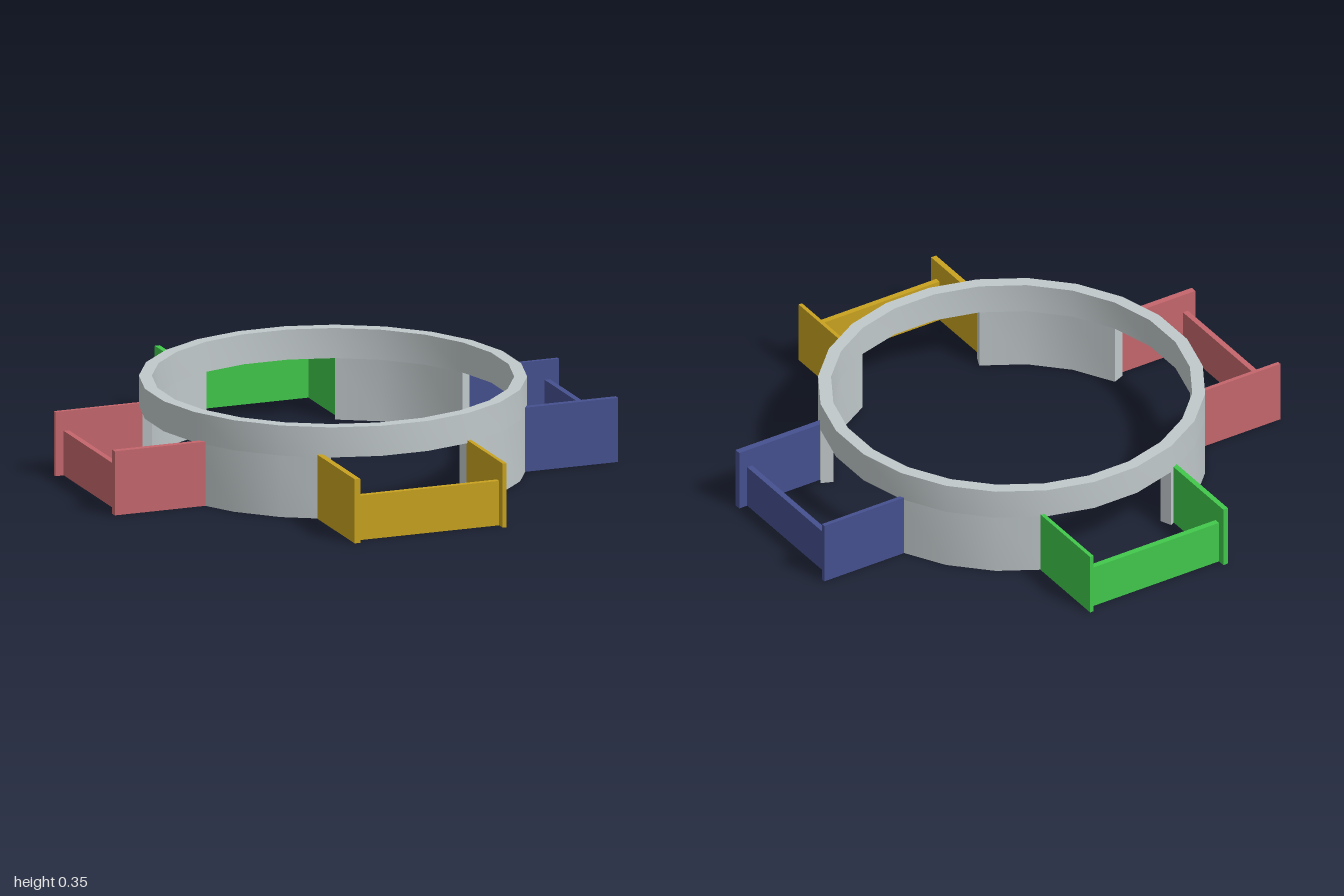
import * as THREE from 'three';
import { toCreasedNormals } from 'three/addons/utils/BufferGeometryUtils.js';

const OUTER = 0.716, INNER = 0.668, STEP = Math.PI / 12;
const CX = -0.005, CZ = -0.01;

function material(name, color) {
  const m = new THREE.MeshStandardMaterial({ color });
  m.name = name;
  return m;
}

// points along a 24-sided circle, counted in facets from a facet corner
function arc(radius, first, count) {
  return Array.from({ length: count + 1 }, (_, i) => {
    const a = (first + i + 0.5) * STEP;
    return new THREE.Vector2(radius * Math.cos(a), radius * Math.sin(a));
  });
}

// extrude a plan shape upwards from y0 to y1
function raise(shape, y0, y1) {
  const geo = new THREE.ExtrudeGeometry(shape, { depth: y1 - y0, bevelEnabled: false });
  geo.rotateX(-Math.PI / 2);
  geo.translate(CX, y0, CZ);
  return toCreasedNormals(geo, 0.6);
}

function addMesh(parent, name, geo, mat) {
  const mesh = new THREE.Mesh(geo, mat);
  mesh.name = name;
  parent.add(mesh);
}

// box given by its limits
function slab(x0, x1, y0, y1, z0, z1) {
  const geo = new THREE.BoxGeometry(x1 - x0, y1 - y0, z1 - z0);
  return geo.translate((x0 + x1) / 2, (y0 + y1) / 2, (z0 + z1) / 2);
}

export function createModel() {
  const model = new THREE.Group();
  model.name = 'ringWithBays';

  // Ring: continuous upper band on four wall sections, leaving four openings
  const ring = new THREE.Group();
  ring.name = 'ring';
  model.add(ring);
  const grey = material('ring grey', 0xc0c8ca);
  const band = new THREE.Shape(arc(OUTER, 0, 23));
  band.holes.push(new THREE.Path(arc(INNER, 0, 23)));
  addMesh(ring, 'upperBand', raise(band, 0.235, 0.35), grey);
  for (let i = 0; i < 4; i++) {
    const plan = [...arc(OUTER, 1 + i * 6, 3), ...arc(INNER, 1 + i * 6, 3).reverse()];
    addMesh(ring, 'wallSection' + (i + 1), raise(new THREE.Shape(plan), 0, 0.235), grey);
  }

  // Bays: two side plates and a lower end panel; a and b are the plates' limits across
  const bays = [
    { name: 'frontBay', mat: material('yellow', 0xc8a220), axis: 'z', sign: 1, a: [-0.324, -0.302], b: [0.264, 0.279], panel: [0.942, 0.964] },
    { name: 'backBay', mat: material('green', 0x41c84b), axis: 'z', sign: -1, a: [-0.316, -0.296], b: [0.273, 0.288], panel: [0.947, 0.97] },
    { name: 'leftBay', mat: material('blue', 0x45508f), axis: 'x', sign: 1, a: [-0.295, -0.279], b: [0.284, 0.309], panel: [0.943, 0.965] },
    { name: 'rightBay', mat: material('red', 0xc4666c), axis: 'x', sign: -1, a: [-0.295, -0.279], b: [0.284, 0.309], panel: [0.945, 0.967] },
  ];
  for (const { name, mat, axis, sign, a, b, panel } of bays) {
    const bay = new THREE.Group();
    bay.name = name;
    model.add(bay);
    const part = (label, across, out, height) => {
      const o = sign > 0 ? out : [-out[1], -out[0]];
      const geo = axis === 'z' ? slab(...across, 0, height, ...o) : slab(...o, 0, height, ...across);
      addMesh(bay, label, geo, mat);
    };
    part('sidePlateA', a, [0.63, 1], 0.245);
    part('sidePlateB', b, [0.63, 1], 0.245);
    part('endPanel', [a[1], b[0]], panel, 0.17);
  }
  return model;
}
